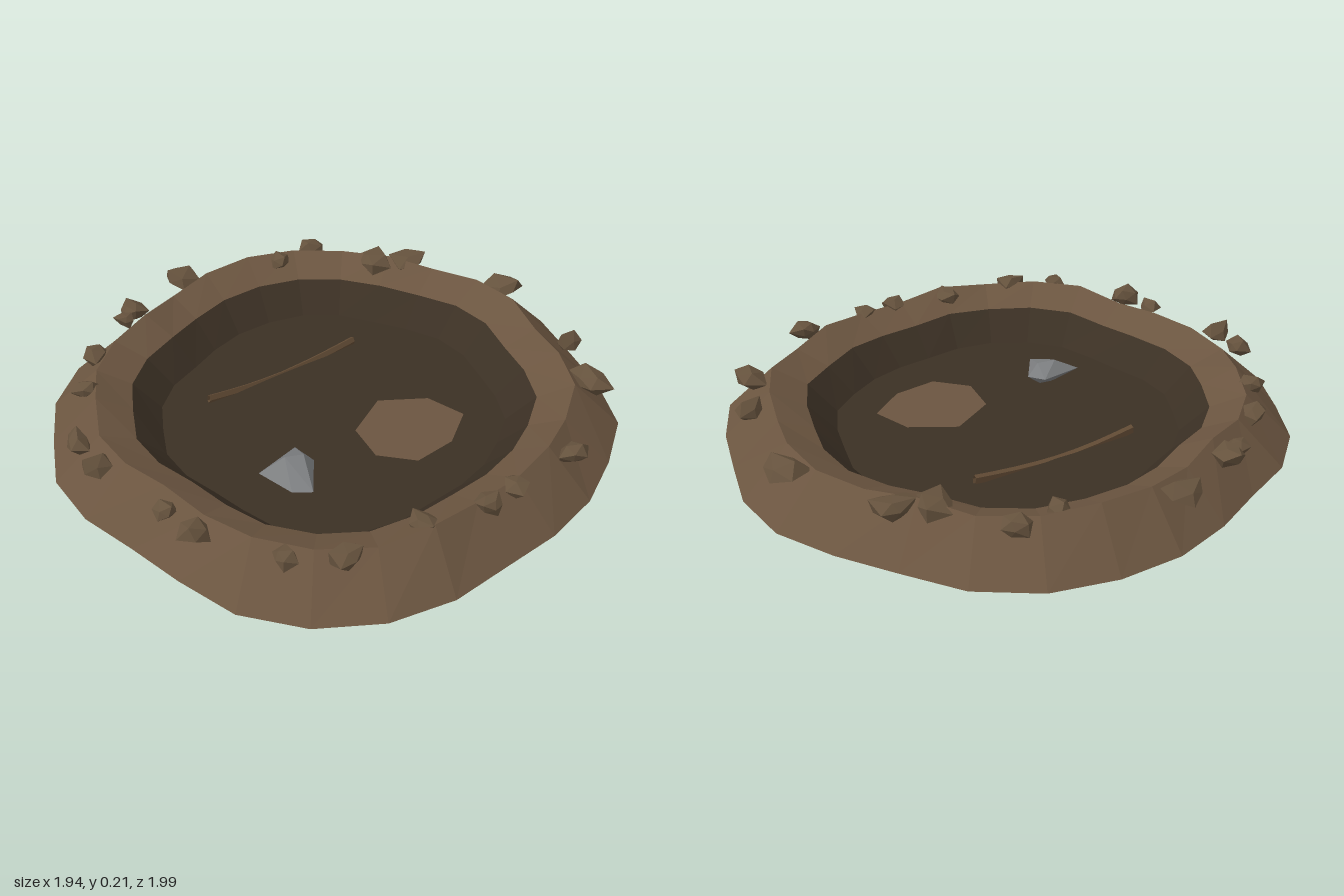
import * as THREE from 'three';
import { ConvexGeometry } from 'three/addons/geometries/ConvexGeometry.js';

const mat = (name, color, side = THREE.FrontSide) =>
  new THREE.MeshStandardMaterial({ name, color, side, flatShading: true });

// Uneven radii of the outer foot, starting at the back and turning towards +x
const RADII = [1, 1.02, 1.01, 0.97, 0.975, 1, 0.99, 0.96, 0.975, 1, 0.97, 0.96, 0.945, 0.94,
  0.985, 1.02, 1.03, 1.01, 0.95, 0.925, 0.955, 0.975, 0.955, 0.97, 0.955, 0.92, 0.94, 0.975];
const N = RADII.length;
const FLOOR = 0.03;

// One closed ring of points: radius factor, height and height wobble
function ring(factor, y, wobble = 0) {
  return RADII.map((r, i) => {
    const a = (i / N) * Math.PI * 2;
    return [r * factor * Math.sin(a), y + wobble * Math.sin(i * 2.3 + 1), -r * factor * Math.cos(a)];
  });
}

// Faceted band between an outer and an inner ring
function band(outer, inner) {
  const pos = [];
  for (let i = 0; i < N; i++) {
    const j = (i + 1) % N;
    pos.push(...outer[i], ...inner[i], ...outer[j], ...outer[j], ...inner[i], ...inner[j]);
  }
  const g = new THREE.BufferGeometry();
  g.setAttribute('position', new THREE.Float32BufferAttribute(pos, 3));
  g.computeVertexNormals();
  return g;
}

// Flat horizontal face through [x, z] points
function flat(points, y) {
  const shape = new THREE.Shape(points.map(([x, z]) => new THREE.Vector2(x, -z)));
  return new THREE.ShapeGeometry(shape).rotateX(-Math.PI / 2).translate(0, y, 0);
}

// Irregular rock: vertices pushed in and out by a rule on their position
function rock(seed) {
  const g = new THREE.IcosahedronGeometry(1, 0);
  const p = g.attributes.position;
  const v = new THREE.Vector3();
  for (let i = 0; i < p.count; i++) {
    v.fromBufferAttribute(p, i);
    const k = Math.sin(v.x * 12.7 + v.y * 31.1 + v.z * 7.3 + seed * 5.7);
    v.multiplyScalar(0.95 + 0.28 * k);
    p.setXYZ(i, v.x, v.y, v.z);
  }
  g.computeVertexNormals();
  return g;
}

export function createModel() {
  const group = new THREE.Group();
  const earth = mat('earth', 0x6b5540, THREE.DoubleSide);
  const darkEarth = mat('dark earth', 0x3b3024, THREE.DoubleSide);
  const rockMat = mat('rock', 0x65523d);
  const wood = mat('wood', 0x634c35, THREE.DoubleSide);
  const grey = mat('grey stone', 0x7c7e80);

  const add = (name, geometry, material, parent = group) => {
    const m = new THREE.Mesh(geometry, material);
    m.name = name;
    parent.add(m);
    return m;
  };

  // Raised rim, inner wall and floor
  const foot = ring(1, FLOOR);
  const crest = ring(0.835, 0.186, 0.01);
  const ledge = ring(0.71, 0.13, 0.004);
  const floorEdge = ring(0.61, FLOOR);
  add('outerSlope', band(foot, crest), earth);
  add('innerSlope', band(crest, ledge), earth);
  add('innerWall', band(ledge, floorEdge), darkEarth);
  add('floor', flat(floorEdge.map(([x, , z]) => [x, z]), FLOOR), darkEarth);

  // Bare earth patch on the floor
  add('earthPatch', flat([[0.18, 0.005], [0.35, 0.06], [0.425, 0.19], [0.32, 0.31],
    [0.17, 0.36], [0.05, 0.28], [0.04, 0.13]], FLOOR + 0.006), earth);

  // Rocks scattered around the rim: x, z, size
  const rocks = new THREE.Group();
  rocks.name = 'rimRocks';
  group.add(rocks);
  [[-0.28, -0.83, 0.068], [0.12, -0.79, 0.045], [0.27, -0.84, 0.05], [0.46, -0.65, 0.075],
    [0.58, -0.62, 0.072], [-0.51, -0.68, 0.055], [-0.55, -0.63, 0.04], [-0.7, -0.46, 0.055],
    [-0.79, -0.27, 0.048], [-0.885, 0, 0.054], [-0.87, 0.14, 0.055], [-0.72, 0.43, 0.043],
    [-0.67, 0.55, 0.055], [-0.46, 0.76, 0.045], [-0.29, 0.82, 0.055], [-0.02, 0.78, 0.052],
    [0.21, 0.78, 0.05], [0.33, 0.73, 0.05], [0.57, 0.66, 0.055], [0.83, 0.34, 0.078],
    [0.87, 0.11, 0.055], [0.84, -0.3, 0.078]].forEach(([x, z, s], i) => {
    const m = add('rimRock', rock(i), rockMat, rocks);
    m.position.set(x, 0.174, z);
    m.scale.set(s, Math.min(s * 0.72, 0.04), s * 0.95);
    m.rotation.y = i * 1.9;
  });

  // Sagging stick, half sunk into the floor
  const path = new THREE.CatmullRomCurve3([[-0.315, 0.045], [-0.16, 0.025], [0, 0.018],
    [0.16, 0.027], [0.315, 0.045]].map(([x, y]) => new THREE.Vector3(x, y, 0)));
  const stick = add('stick', new THREE.TubeGeometry(path, 8, 0.018, 5), wood);
  stick.scale.z = 0.6;
  stick.rotation.y = 0.226;
  stick.position.set(-0.065, 0, -0.29);

  // Faceted grey stone
  const stone = [[-0.355, 0.06, 0.245], [-0.2, 0.07, 0.175], [-0.16, 0.055, 0.245],
    [-0.22, 0.05, 0.39], [-0.285, 0.05, 0.365], [-0.265, 0.105, 0.25], [-0.2, 0.1, 0.255],
    [-0.25, 0.025, 0.24], [-0.3, 0.03, 0.26], [-0.2, 0.03, 0.23]];
  add('greyStone', new ConvexGeometry(stone.map((p) => new THREE.Vector3(...p))), grey);

  return group;
}
